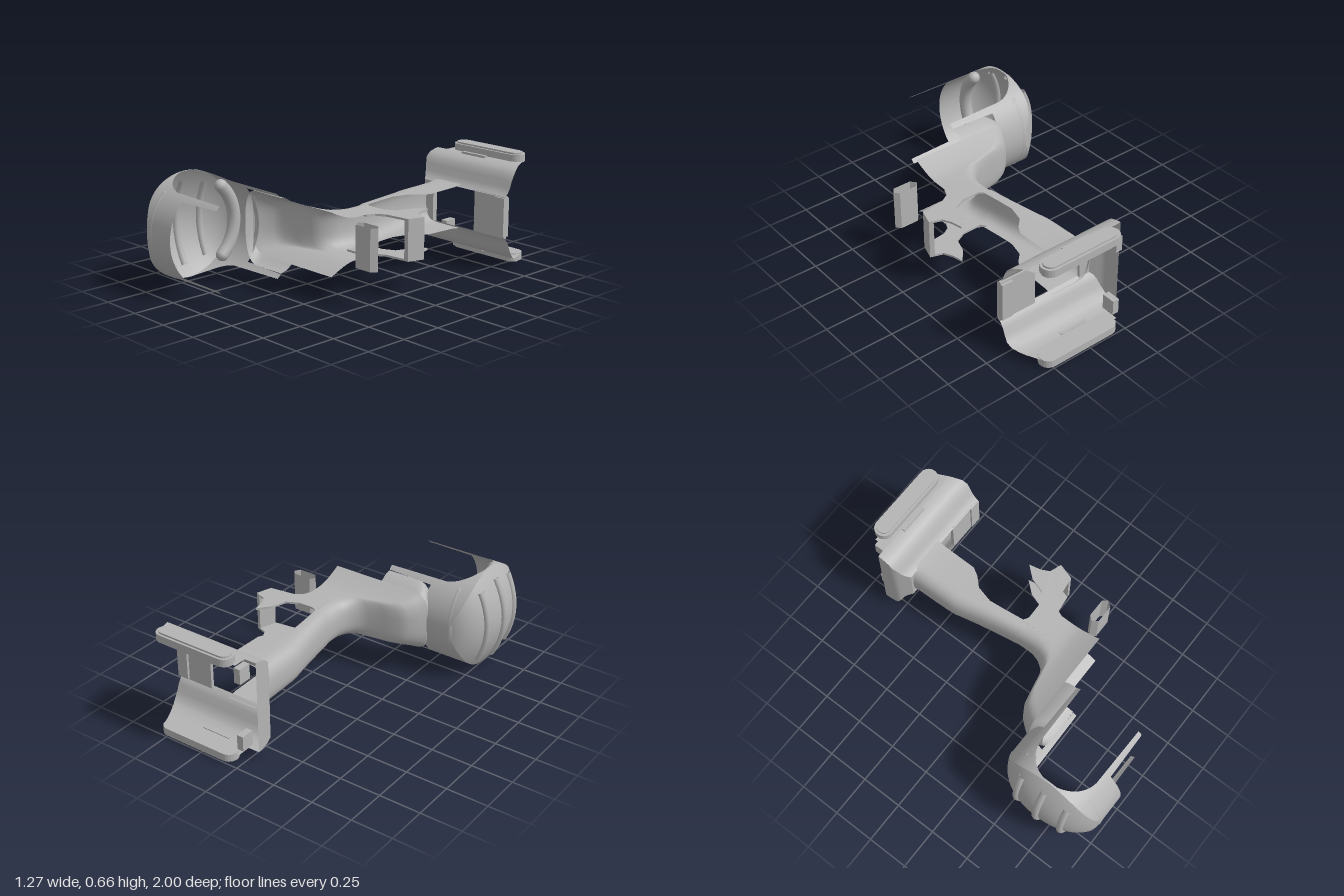
import * as THREE from 'three';

const grey = new THREE.MeshStandardMaterial({ color: 0xb4b4b4, side: THREE.DoubleSide });
grey.name = 'casing grey';
const MID = 0.33;               // height of the mirror plane
const HZ = 0.69, HR = 0.31;     // centre and radius of the motor housing

// Skin a surface through rows of [x, y, z] points
function loft(rows) {
  const n = rows[0].length, idx = [];
  for (let i = 0; i < rows.length - 1; i++) {
    for (let j = 0; j < n - 1; j++) {
      const a = i * n + j, b = a + n;
      idx.push(a, b, a + 1, b, b + 1, a + 1);
    }
  }
  const g = new THREE.BufferGeometry();
  g.setAttribute('position', new THREE.Float32BufferAttribute(rows.flat(2), 3));
  g.setIndex(idx);
  g.computeVertexNormals();
  return g;
}

// Plate with an outline of [x, z] points, from y0 to y1
function plate(points, y0, y1) {
  const s = new THREE.Shape(points.map(([x, z]) => new THREE.Vector2(x, -z)));
  const g = new THREE.ExtrudeGeometry(s, { depth: y1 - y0, bevelEnabled: false });
  return g.rotateX(-Math.PI / 2).translate(0, y0, 0);
}

// Long rounded outline between x0 and x1
function pill(x0, x1, z, r) {
  const p = [];
  for (let k = 0; k < 24; k++) {
    const a = Math.PI / 2 + (k < 12 ? k / 11 : 1 + (k - 12) / 11) * Math.PI;
    p.push([(k < 12 ? x0 + r : x1 - r) + r * Math.cos(a), z + r * Math.sin(a)]);
  }
  return p;
}

// Back of the housing: strongly curved across z, gently across y
const capX = (dz, dy) =>
  -0.42 - 0.205 * Math.sqrt(Math.max(0, 1 - Math.pow(Math.abs(dz) / HR, 2.2))) + 0.11 * (dy / HR) ** 2;

// Open edge of the housing: side cutouts, thin bars, then short tongues
function cutX(dz) {
  const d = Math.abs(dz);
  if (d < 0.19) return -0.32 - 0.19 * Math.sqrt(1 - (d / 0.19) ** 2);
  return d < 0.222 ? 0.03 : -0.26;
}

export function createModel() {
  const group = new THREE.Group();
  const add = (name, geo, x = 0, y = 0, z = 0) => {
    const m = new THREE.Mesh(geo, grey);
    m.name = name;
    m.position.set(x, y, z);
    group.add(m);
  };
  const box = (name, x0, x1, y0, y1, z0, z1) =>
    add(name, new THREE.BoxGeometry(x1 - x0, y1 - y0, z1 - z0), (x0 + x1) / 2, (y0 + y1) / 2, (z0 + z1) / 2);

  // Housing cap and wall
  const cap = [], wall = [], N = 240;
  for (let i = 0; i <= N; i++) {
    const a = (i / N) * Math.PI * 2, c = Math.cos(a), s = Math.sin(a);
    const capRow = [], wallRow = [];
    for (let j = 0; j <= 14; j++) {
      const r = HR * Math.sin((j / 14) * Math.PI / 2);
      capRow.push([capX(r * c, r * s), MID + r * s, HZ + r * c]);
    }
    const x0 = capX(HR * c, HR * s), x1 = Math.max(x0 + 0.01, cutX(HR * c));
    for (let j = 0; j <= 6; j++) {
      wallRow.push([x0 + (x1 - x0) * j / 6, MID + HR * s, HZ + HR * c]);
    }
    cap.push(capRow);
    wall.push(wallRow);
  }
  add('housingCap', loft(cap));
  add('housingWall', loft(wall));

  // Raised ribs on the cap
  for (const [dz, half] of [[-0.15, 0.22], [0, 0.25], [0.15, 0.22]]) {
    const pts = [];
    for (let i = -5; i <= 5; i++) {
      const dy = half * i / 5;
      pts.push(new THREE.Vector3(capX(dz, dy), MID + dy, HZ + dz));
    }
    add('capRib', new THREE.TubeGeometry(new THREE.CatmullRomCurve3(pts), 24, 0.02, 8));
  }

  // Bumpers bent along both flanks of the housing
  for (const s of [-1, 1]) {
    const pts = [];
    for (let i = -5; i <= 5; i++) {
      const a = 0.83 * i / 5;
      pts.push(new THREE.Vector3(-0.44, MID + 0.275 * Math.sin(a), HZ + s * 0.275 * Math.cos(a)));
    }
    add('bumper', new THREE.TubeGeometry(new THREE.CatmullRomCurve3(pts), 24, 0.038, 12));
    for (const p of [pts[0], pts[10]]) add('bumperEnd', new THREE.SphereGeometry(0.038, 12, 8), p.x, p.y, p.z);
  }

  // Handle: U-shaped trough, stations of z, back x, front x, half height
  const stations = [
    [-0.72, 0.02, 0.28, 0.135], [-0.66, 0.025, 0.28, 0.125], [-0.55, 0.027, 0.28, 0.122],
    [-0.45, 0.03, 0.28, 0.12], [-0.4, 0.035, 0.25, 0.12], [-0.35, 0.047, 0.2, 0.12],
    [-0.25, 0.07, 0.175, 0.12], [-0.15, 0.09, 0.185, 0.12], [-0.03, 0.11, 0.2, 0.12],
    [0, 0.113, 0.25, 0.12], [0.03, 0.115, 0.35, 0.12], [0.1, 0.115, 0.35, 0.12],
    [0.15, 0.1, 0.35, 0.12], [0.2, 0.065, 0.35, 0.12], [0.23, 0.01, 0.35, 0.122],
    [0.25, -0.09, 0.35, 0.125], [0.27, -0.18, 0.35, 0.13], [0.3, -0.23, 0.35, 0.14],
    [0.35, -0.27, 0.35, 0.16], [0.39, -0.3, 0.35, 0.18], [0.391, -0.3, 0.03, 0.18],
    [0.43, -0.29, 0.03, 0.205], [0.47, -0.27, 0.03, 0.215]];
  add('handle', loft(stations.map(([z, xb, xf, h]) => {
    const rx = Math.min(0.1, (xf - xb) * 0.8), row = [];
    for (let j = 0; j < 4; j++) row.push([xf + (xb + rx - xf) * j / 4, MID + h, z]);
    for (let j = 0; j <= 16; j++) {
      const a = (j / 16) * Math.PI, s = Math.sin(a), c = Math.cos(a);
      row.push([xb + rx - rx * Math.pow(s, 0.75), MID + h * Math.sign(c) * Math.pow(Math.abs(c), 0.75), z]);
    }
    for (let j = 1; j <= 4; j++) row.push([xb + rx + (xf - xb - rx) * j / 4, MID - h, z]);
    return row;
  })));

  // Guard: pointed plates above and below, joined by a thin front bar
  const arm = [[0.19, -0.04], [0.22, -0.012], [0.33, -0.015], [0.4, -0.05], [0.43, -0.14], [0.49, -0.21],
    [0.505, -0.14], [0.53, -0.09], [0.6, -0.065], [0.57, 0.03], [0.42, 0.05],
    [0.37, 0.08], [0.35, 0.13], [0.2, 0.13]];
  for (const y of [MID - 0.12, MID + 0.108]) add('guardPlate', plate(arm, y, y + 0.012));
  add('guardBar', plate([[0.575, -0.075], [0.6, -0.065], [0.57, 0.03], [0.545, 0.033]], MID - 0.12, MID + 0.12));

  // Hollow trigger sleeve
  const ring = [[0.43, 0.28], [0.455, 0.252], [0.565, 0.252], [0.59, 0.28], [0.565, 0.312], [0.455, 0.312], [0.43, 0.28]];
  const sleeve = loft([0.21, 0.45].map(y => ring.map(([x, z]) => [x, y, z]))).toNonIndexed();
  sleeve.computeVertexNormals();
  add('triggerSleeve', sleeve);

  // Foot: arched saddle, profile of [distance from mirror plane, z]
  const side = [[0.12, -0.695], [0.138, -0.72], [0.165, -0.738], [0.205, -0.753], [0.24, -0.772],
    [0.264, -0.8], [0.276, -0.84], [0.28, -0.87], [0.28, -0.872], [0.28, -0.95]];
  const xStart = z => z < -0.871 ? 0.02 : -0.05 + 0.06 * Math.max(0, Math.min(1, (z + 0.77) / 0.075));
  const xEnd = z => z < -0.78 ? 0.63 + (z + 0.78) * 0.47 : 0.63;
  for (const s of [-1, 1]) {
    add('footSide', loft(side.map(([d, z]) => {
      const row = [];
      for (let j = 0; j <= 8; j++) row.push([xStart(z) + (xEnd(z) - xStart(z)) * j / 8, MID + s * d, z]);
      return row;
    })));

    // Battery rail with a raised face, the ridge beside it and an inner latch
    const railY = s > 0 ? 0.605 : 0.01, faceY = s > 0 ? 0.65 : 0;
    add('rail', plate(pill(0.04, 0.55, -0.945, 0.055), railY, railY + 0.045));
    add('railFace', plate(pill(0.055, 0.535, -0.945, 0.042), faceY, faceY + 0.01));
    box('footRidge', 0.16, 0.34, MID + s * 0.283 - 0.008, MID + s * 0.283 + 0.008, -0.87, -0.85);
    box('footLatch', 0, 0.04, MID + s * 0.21 - 0.045, MID + s * 0.21 + 0.045, -0.94, -0.86);
  }

  // Webs closing the saddle on both sides of the handle opening, and the end tab
  box('footBackWeb', 0.01, 0.08, MID - 0.12, MID + 0.12, -0.71, -0.695);
  box('footFrontWeb', 0.4, 0.63, MID - 0.125, MID + 0.125, -0.72, -0.7);
  box('footTab', 0.56, 0.63, MID - 0.115, MID + 0.115, -0.735, -0.69);

  // Back wall closing the foot
  const edge = side.slice(0, 8);
  add('footBackWall', loft([1, -1].map(s => edge.map(([d, z]) => [xStart(z), MID + s * d, z]))));
  return group;
}
